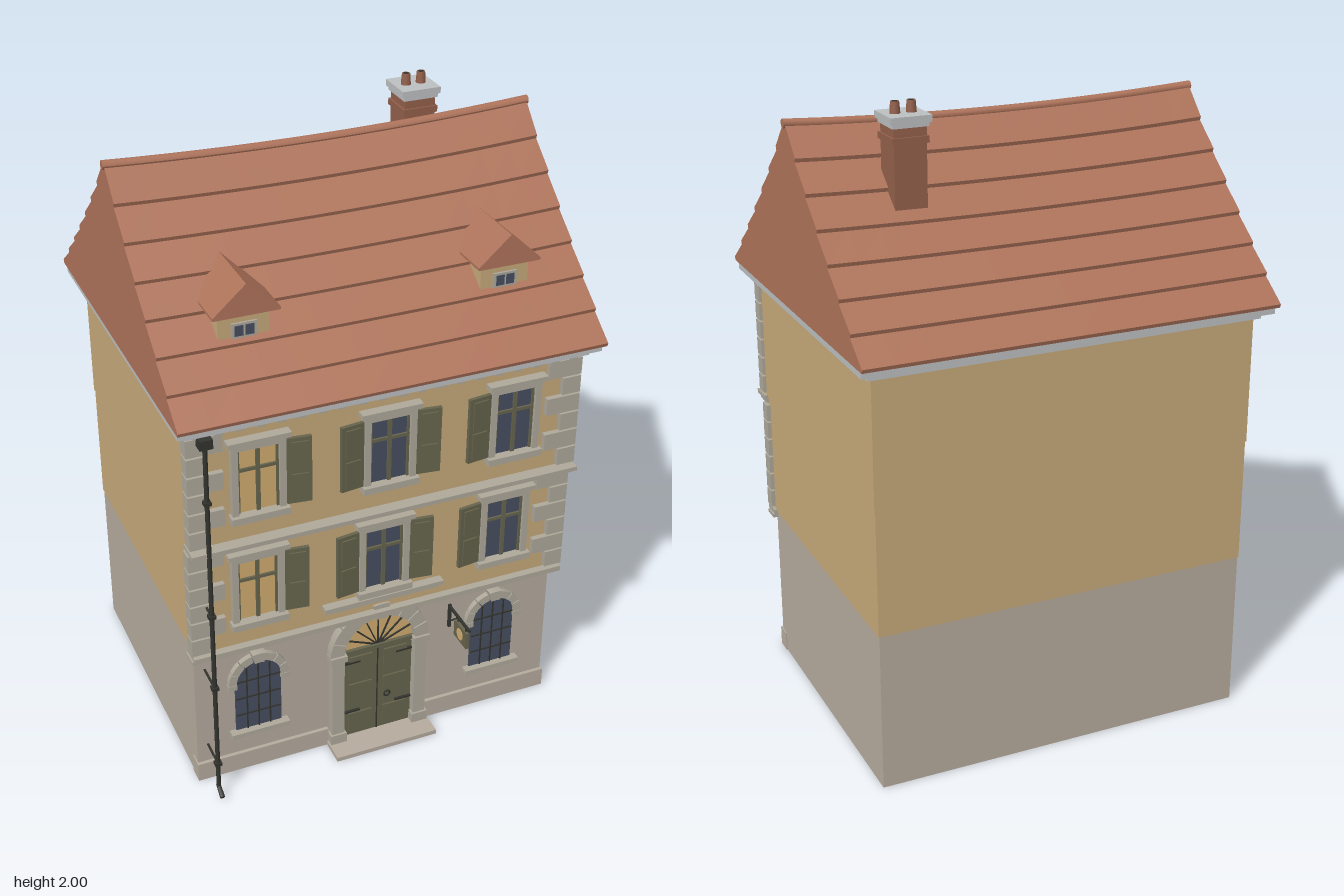
import * as THREE from 'three';

const mat = (name, color) => {
  const m = new THREE.MeshStandardMaterial({ color });
  m.name = name;
  return m;
};

export function createModel() {
  const roofTile = mat('roof tile', 0xae735a), plaster = mat('plaster', 0xc6a97a);
  const stone = mat('ground floor stone', 0xb5ab9d), trim = mat('dressed stone', 0xaea89a);
  const pale = mat('pale cornice', 0xbcbfc0), glass = mat('dark glass', 0x474e60);
  const lit = mat('lit glass', 0xd0ac70), green = mat('painted wood', 0x66644c);
  const iron = mat('iron', 0x33342f), brick = mat('brick', 0x93604b);
  const house = new THREE.Group();
  house.name = 'townhouse';

  const add = (name, geo, m, parent = house) => {
    const mesh = new THREE.Mesh(geo, m);
    mesh.name = name;
    parent.add(mesh);
    return mesh;
  };
  const box = (name, m, x0, x1, y0, y1, z0, z1, parent) => {
    const b = add(name, new THREE.BoxGeometry(x1 - x0, y1 - y0, z1 - z0), m, parent);
    b.position.set((x0 + x1) / 2, (y0 + y1) / 2, (z0 + z1) / 2);
    return b;
  };
  const group = (name, x = 0, y = 0, z = 0) => {
    const g = new THREE.Group();
    g.name = name;
    g.position.set(x, y, z);
    house.add(g);
    return g;
  };
  const extrude = (name, shape, depth, m, parent, z = 0) => {
    const e = add(name, new THREE.ExtrudeGeometry(shape, { depth, bevelEnabled: false, curveSegments: 16 }), m, parent);
    e.position.z = z;
    return e;
  };
  // Arch of separate wedge stones
  const arch = (parent, y, r0, r1, count, depth) => {
    for (let i = 0; i < count; i++) {
      const a = Math.PI * (i + 0.04) / count, b = Math.PI * (i + 0.96) / count;
      const key = i === (count - 1) / 2 ? 0.008 : 0;
      const s = new THREE.Shape();
      s.absarc(0, y, r1 + key, a, b, false);
      s.absarc(0, y, r0, b, a, true);
      extrude('archStone', s, depth + key, trim, parent);
    }
  };
  const archPanel = (w, y0, spring) => {
    const s = new THREE.Shape();
    s.moveTo(-w, y0);
    s.lineTo(w, y0);
    s.lineTo(w, spring);
    s.absarc(0, spring, w, 0, Math.PI, false);
    s.closePath();
    return s;
  };

  // Walls, each upper storey stepping forward at the front
  const Z0 = 0.44, Z1 = 0.47, Z2 = 0.495;
  box('groundFloor', stone, -0.61, 0.61, 0, 0.515, -0.51, Z0);
  box('firstFloor', plaster, -0.613, 0.613, 0.515, 0.915, -0.512, Z1);
  box('secondFloor', plaster, -0.616, 0.616, 0.915, 1.33, -0.514, Z2);
  box('plinthLeft', stone, 0.17, 0.614, 0, 0.065, 0.4, Z0 + 0.012);
  box('plinthRight', stone, -0.614, -0.17, 0, 0.065, 0.4, Z0 + 0.012);
  box('lowerBand', trim, -0.627, 0.627, 0.495, 0.507, 0.43, 0.485);
  box('lowerBandTop', trim, -0.622, 0.622, 0.507, 0.522, 0.43, 0.495);
  box('upperBand', trim, -0.622, 0.622, 0.9, 0.912, 0.46, 0.52);
  box('upperBandTop', trim, -0.627, 0.627, 0.912, 0.926, 0.46, 0.535);

  // Cornice and dentils
  box('corniceLower', pale, -0.632, 0.632, 1.32, 1.34, -0.53, 0.535);
  box('corniceUpper', pale, -0.66, 0.66, 1.34, 1.363, -0.56, 0.56);
  for (let i = 0; i < 20; i++) {
    const x = -0.59 + i * 1.18 / 19;
    box('dentil', trim, x - 0.013, x + 0.013, 1.306, 1.322, Z2, 0.522);
  }

  // Corner quoins, alternating long and short
  for (const [y0, y1, z] of [[0.527, 0.898, Z1], [0.93, 1.306, Z2]]) {
    const n = 6, h = (y1 - y0) / n;
    for (let i = 0; i < n; i++) for (const s of [-1, 1]) {
      const w = i % 2 ? 0.11 : 0.06, a = s * 0.626, b = s * (0.626 - w);
      box('quoin', trim, Math.min(a, b), Math.max(a, b), y0 + i * h + 0.003, y0 + (i + 1) * h - 0.003, z - 0.025, z + 0.018);
    }
  }

  // Upper windows with frames, glazing bars and shutters
  const upperWindow = (x, y, z, pane, sides) => {
    const g = group('upperWindow', x, y, z);
    box('pane', pane, -0.065, 0.065, 0, 0.23, -0.01, 0.004, g);
    for (const s of [-1, 1]) box('jamb', trim, s * 0.073 - 0.01, s * 0.073 + 0.01, 0, 0.232, -0.01, 0.02, g);
    box('head', trim, -0.083, 0.083, 0.222, 0.242, -0.01, 0.021, g);
    box('lintel', trim, -0.096, 0.096, 0.242, 0.258, -0.01, 0.032, g);
    box('sill', trim, -0.09, 0.09, -0.016, 0.006, -0.01, 0.034, g);
    box('mullion', green, -0.006, 0.006, 0.006, 0.222, 0, 0.011, g);
    box('transom', green, -0.063, 0.063, 0.146, 0.156, 0, 0.011, g);
    for (const s of [-1, 1]) box('casementEdge', green, s * 0.06 - 0.004, s * 0.06 + 0.004, 0.006, 0.222, 0, 0.01, g);
    for (const s of sides) {
      const sh = new THREE.Group();
      sh.name = 'shutter';
      sh.position.set(s * 0.085, 0, 0.012);
      sh.rotation.y = -s * 0.12;
      g.add(sh);
      const c = s * 0.038;
      box('board', green, c - 0.037, c + 0.037, 0.008, 0.228, -0.006, 0.006, sh);
      for (const [a, b] of [[0.02, 0.108], [0.124, 0.216]])
        box('panel', green, c - 0.025, c + 0.025, a, b, 0, 0.011, sh);
    }
  };
  for (const [y, z] of [[0.61, Z1], [1.012, Z2]]) {
    upperWindow(-0.41, y, z, lit, [1]);
    upperWindow(0, y, z, glass, [-1, 1]);
    upperWindow(0.41, y, z, glass, [-1]);
  }
  box('ledge', trim, -0.2, 0.2, 0.572, 0.587, Z1 - 0.01, Z1 + 0.03);
  box('ledgeUnder', trim, -0.185, 0.185, 0.56, 0.572, Z1 - 0.01, Z1 + 0.02);

  // Arched ground floor windows
  for (const x of [-0.405, 0.41]) {
    const g = group('archedWindow', x, 0, Z0);
    extrude('pane', archPanel(0.076, 0.16, 0.35), 0.006, glass, g);
    arch(g, 0.35, 0.074, 0.1, 7, 0.018);
    for (const s of [-1, 1]) box('impost', trim, s * 0.087 - 0.014, s * 0.087 + 0.014, 0.332, 0.35, -0.005, 0.018, g);
    box('sill', trim, -0.097, 0.097, 0.143, 0.16, -0.01, 0.028, g);
    for (const bx of [-0.038, 0, 0.038]) box('bar', iron, bx - 0.002, bx + 0.002, 0.16, bx ? 0.412 : 0.424, 0, 0.01, g);
    for (const by of [0.22, 0.285, 0.35]) box('crossBar', iron, -0.074, 0.074, by - 0.002, by + 0.002, 0, 0.01, g);
  }

  // Doorway with pilasters, fanlight and double door
  const door = group('doorway', 0, 0, Z0);
  arch(door, 0.36, 0.122, 0.17, 9, 0.03);
  for (const s of [-1, 1]) {
    const c = s * 0.143;
    box('pilaster', trim, c - 0.021, c + 0.021, 0.05, 0.345, -0.01, 0.03, door);
    box('pilasterBase', trim, c - 0.027, c + 0.027, 0, 0.05, -0.01, 0.037, door);
    box('pilasterCap', trim, c - 0.028, c + 0.028, 0.345, 0.366, -0.01, 0.038, door);
    const l = s * 0.06;
    box('doorLeaf', green, l - 0.0595, l + 0.0595, 0.015, 0.355, -0.01, 0.01, door);
    for (const [a, b] of [[0.035, 0.105], [0.125, 0.225], [0.245, 0.335]])
      box('doorPanel', green, l - 0.04, l + 0.04, a, b, 0, 0.016, door);
    for (const y of [0.115, 0.315]) box('hinge', iron, s * 0.09 - 0.028, s * 0.09 + 0.028, y - 0.003, y + 0.003, 0, 0.018, door);
  }
  box('doorGap', iron, -0.002, 0.002, 0.015, 0.355, 0, 0.012, door);
  box('doorTransom', green, -0.122, 0.122, 0.353, 0.366, -0.01, 0.02, door);
  add('doorRing', new THREE.TorusGeometry(0.01, 0.003, 6, 14), iron, door).position.set(0.032, 0.155, 0.019);
  extrude('fanlight', archPanel(0.123, 0.36, 0.3601), 0.008, lit, door);
  for (let i = 1; i < 8; i++) {
    const a = Math.PI * i / 8;
    const bar = add('fanBar', new THREE.BoxGeometry(0.122, 0.004, 0.006), iron, door);
    bar.position.set(0.061 * Math.cos(a), 0.36 + 0.061 * Math.sin(a), 0.01);
    bar.rotation.z = a;
  }
  box('doorStep', stone, -0.175, 0.175, 0, 0.015, -0.01, 0.1, door);

  // Hanging sign on a bracket
  const sign = group('hangingSign', 0.255, 0, 0);
  box('bracket', iron, -0.004, 0.004, 0.426, 0.434, Z0, 0.585, sign);
  box('wallPlate', iron, -0.005, 0.005, 0.35, 0.437, Z0, Z0 + 0.008, sign);
  const brace = box('brace', iron, -0.003, 0.003, 0.397, 0.402, 0.435, 0.515, sign);
  brace.rotation.x = -0.75;
  for (const z of [0.505, 0.56]) box('hanger', iron, -0.002, 0.002, 0.41, 0.428, z - 0.002, z + 0.002, sign);
  box('signBoard', green, -0.006, 0.006, 0.353, 0.413, 0.49, 0.574, sign);
  const disc = add('signDisc', new THREE.CylinderGeometry(0.02, 0.02, 0.016, 20), lit, sign);
  disc.rotation.z = Math.PI / 2;
  disc.position.set(0, 0.383, 0.532);

  // Drainpipe with hopper, wall clips and spout
  const pipe = group('drainpipe', -0.575, 0, 0.533);
  add('pipe', new THREE.CylinderGeometry(0.007, 0.007, 1.27, 10), iron, pipe).position.y = 0.67;
  box('hopper', iron, -0.02, 0.02, 1.285, 1.315, -0.018, 0.016, pipe);
  const spout = add('spout', new THREE.CylinderGeometry(0.007, 0.008, 0.045, 10), iron, pipe);
  spout.position.set(0, 0.027, 0.014);
  spout.rotation.x = -1.05;
  for (const [y, z] of [[0.13, Z0], [0.43, Z0], [0.7, Z1], [1.1, Z2]]) {
    box('clip', iron, -0.011, 0.011, y - 0.006, y + 0.006, -0.01, 0.01, pipe);
    box('clipArm', iron, -0.003, 0.003, y - 0.003, y + 0.003, z - 0.533, 0, pipe);
  }

  // Sagging roof, stepped in tile courses on both slopes
  const heights = [1.935, 1.84, 1.757, 1.675, 1.597, 1.521, 1.447, 1.372];
  const slope = [];
  for (let i = 1; i < 8; i++) {
    const z = i * 0.578 / 7;
    slope.push([z + 0.004, heights[i] + 0.004], [z, heights[i] - 0.008]);
  }
  const profile = new THREE.Shape();
  profile.moveTo(0, heights[0]);
  slope.forEach(([z, y]) => profile.lineTo(-z, y));
  slope.reverse().forEach(([z, y]) => profile.lineTo(z, y));
  profile.closePath();
  const sag = (geo) => {
    const p = geo.attributes.position;
    for (let i = 0; i < p.count; i++) {
      const t = p.getX(i) / 0.665, up = (p.getY(i) - 1.365) / 0.57;
      p.setY(i, p.getY(i) - 0.021 * (1 - t * t) * up);
    }
    geo.computeVertexNormals();
    return geo;
  };
  const roofGeo = new THREE.ExtrudeGeometry(profile, { depth: 1.33, steps: 14, bevelEnabled: false });
  roofGeo.rotateY(-Math.PI / 2).translate(0.665, 0, 0);
  add('roof', sag(roofGeo), roofTile);
  const ridge = new THREE.CylinderGeometry(0.014, 0.014, 1.34, 10, 14).rotateZ(Math.PI / 2).translate(0, 1.927, 0);
  add('ridgeTiles', sag(ridge), roofTile);

  // Dormers
  for (const x of [-0.405, 0.405]) {
    const g = group('dormer', x, 0, 0);
    box('dormerWall', plaster, -0.077, 0.077, 1.46, 1.62, 0.2, 0.4, g);
    box('dormerFrame', trim, -0.038, 0.038, 1.532, 1.578, 0.39, 0.407, g);
    for (const s of [-1, 1]) box('dormerPane', glass, s * 0.016 - 0.013, s * 0.016 + 0.013, 1.539, 1.571, 0.4, 0.409, g);
    const tri = new THREE.Shape([[-0.1, 1.61], [0.1, 1.61], [0.1, 1.618], [0, 1.707], [-0.1, 1.618]]
      .map(([a, b]) => new THREE.Vector2(a, b)));
    extrude('dormerRoof', tri, 0.28, roofTile, g, 0.15);
  }

  // Chimney with collar, cap and pots
  const chimney = group('chimney', 0.367, 0, -0.168);
  box('stack', brick, -0.05, 0.05, 1.6, 1.94, -0.052, 0.052, chimney);
  box('collar', brick, -0.056, 0.056, 1.885, 1.905, -0.058, 0.058, chimney);
  box('capLower', pale, -0.056, 0.056, 1.932, 1.945, -0.058, 0.058, chimney);
  box('cap', pale, -0.063, 0.063, 1.945, 1.965, -0.063, 0.063, chimney);
  for (const x of [-0.025, 0.025]) {
    add('pot', new THREE.CylinderGeometry(0.013, 0.016, 0.037, 14), brick, chimney).position.set(x, 1.981, 0);
    add('potMouth', new THREE.CylinderGeometry(0.009, 0.009, 0.002, 14), iron, chimney).position.set(x, 1.999, 0);
  }
  return house;
}
